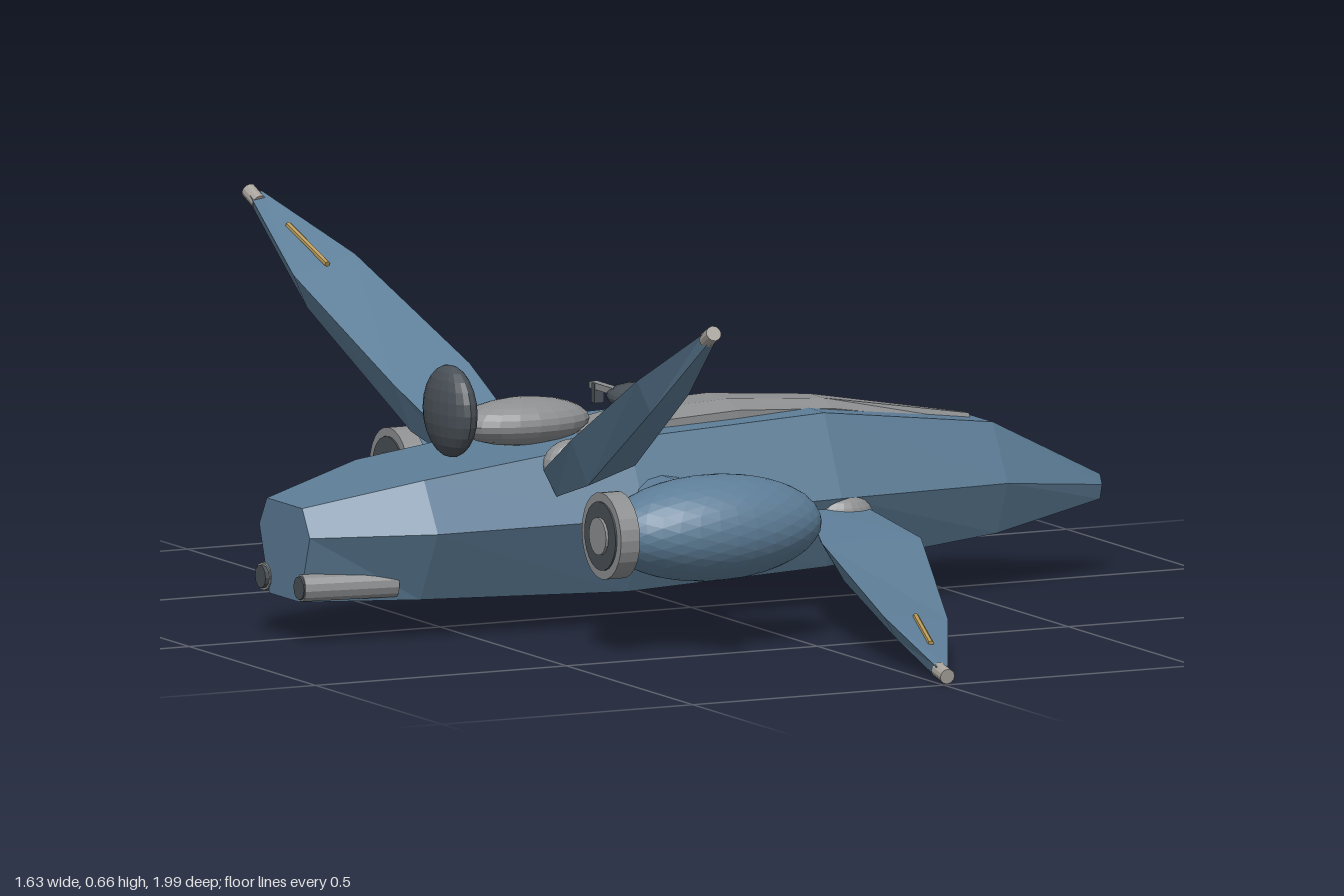
import * as THREE from 'three';

const mat = (name, color, extra = {}) => {
  const m = new THREE.MeshStandardMaterial({ color, flatShading: true, ...extra });
  m.name = name;
  return m;
};

// Skins equal-length rings of [x, y, z] points, with closed ends facing outward
function loft(rings) {
  const tris = [];
  const n = rings[0].length;
  for (let i = 0; i < rings.length - 1; i++) {
    for (let j = 0; j < n; j++) {
      const k = (j + 1) % n;
      const a = rings[i][j], b = rings[i][k], c = rings[i + 1][k], d = rings[i + 1][j];
      tris.push([a, b, c], [a, c, d]);
    }
  }
  const first = rings[0], last = rings[rings.length - 1];
  for (let j = 1; j < n - 1; j++) {
    tris.push([first[0], first[j + 1], first[j]], [last[0], last[j], last[j + 1]]);
  }
  // A negative volume means the faces point inward
  let volume = 0;
  const va = new THREE.Vector3(), vb = new THREE.Vector3(), vc = new THREE.Vector3();
  for (const [a, b, c] of tris) volume += va.fromArray(a).dot(vb.fromArray(b).cross(vc.fromArray(c)));
  if (volume < 0) tris.forEach((t) => t.reverse());
  const geo = new THREE.BufferGeometry();
  geo.setAttribute('position', new THREE.Float32BufferAttribute(tris.flat(2), 3));
  geo.computeVertexNormals();
  return geo;
}

export function createModel() {
  const blue = mat('hull blue', 0x5d7d97);
  const grey = mat('metal grey', 0x8d8f91);
  const dark = mat('dark metal', 0x495057);
  const gold = mat('gold', 0xb99a58);
  const pale = mat('pale metal', 0xa7a29b);

  const model = new THREE.Group();
  model.name = 'spacecraft';
  const add = (name, geo, material, pos = [0, 0, 0], scale = [1, 1, 1]) => {
    const mesh = new THREE.Mesh(geo, material);
    mesh.name = name;
    mesh.position.set(...pos);
    mesh.scale.set(...scale);
    model.add(mesh);
    return mesh;
  };
  // Cylinder between two points
  const rod = (name, from, to, r1, r2, material, sides = 12) => {
    const a = new THREE.Vector3(...from), b = new THREE.Vector3(...to);
    const mid = a.clone().add(b).multiplyScalar(0.5);
    const mesh = add(name, new THREE.CylinderGeometry(r2, r1, a.distanceTo(b), sides), material, mid.toArray());
    mesh.quaternion.setFromUnitVectors(new THREE.Vector3(0, 1, 0), b.sub(a).normalize());
    return mesh;
  };

  // Fuselage: x, bottom y, bottom half-width, side y, side half-width, top y, top half-width
  const hull = [
    [-0.81, 0.08, 0.06, 0.2, 0.1, 0.25, 0.07],
    [-0.6, 0.078, 0.12, 0.205, 0.19, 0.295, 0.135],
    [-0.2, 0.068, 0.145, 0.21, 0.22, 0.345, 0.15],
    [0.2, 0.083, 0.135, 0.215, 0.2, 0.36, 0.13],
    [0.57, 0.11, 0.08, 0.205, 0.12, 0.308, 0.062],
    [0.81, 0.145, 0.01, 0.172, 0.018, 0.19, 0.01],
  ];
  add('fuselage', loft(hull.map(([x, by, bw, sy, sw, ty, tw]) => [
    [x, by, -bw], [x, sy, -sw], [x, ty, -tw], [x, ty, tw], [x, sy, sw], [x, by, bw],
  ])), blue);

  // Cockpit deck: x, top y, half-width
  const deck = [[-0.24, 0.352, 0.06], [-0.1, 0.376, 0.09], [0.05, 0.383, 0.088],
    [0.25, 0.369, 0.065], [0.55, 0.318, 0.016]];
  add('cockpitDeck', loft(deck.map(([x, y, w]) => [
    [x, y - 0.05, -w], [x, y - 0.014, -w], [x, y, -w * 0.45],
    [x, y, w * 0.45], [x, y - 0.014, w], [x, y - 0.05, w],
  ])), grey);

  // Rider section on top of the hull
  const ball = new THREE.SphereGeometry(1, 20, 12);
  add('rearBody', ball, grey, [-0.335, 0.365, 0], [0.128, 0.043, 0.072]);
  add('rearDisc', ball, dark, [-0.48, 0.393, 0], [0.036, 0.083, 0.083]);
  add('dome', ball, dark, [-0.1, 0.39, 0], [0.055, 0.026, 0.083]);
  add('domeCap', ball, gold, [-0.087, 0.408, 0], [0.025, 0.012, 0.035]);
  add('handlebar', new THREE.BoxGeometry(0.016, 0.012, 0.25), grey, [-0.132, 0.399, 0]);
  for (const s of [-1, 1]) {
    add('handleGrip', new THREE.BoxGeometry(0.018, 0.035, 0.014), dark, [-0.132, 0.386, s * 0.108]);
  }

  // Wing stations: z, trailing x, leading x, trailing top y, leading top y, thickness
  const wings = [
    {
      name: 'upperWing',
      stations: [[0.18, -0.385, -0.265, 0.305, 0.335, 0.05], [0.35, -0.415, -0.265, 0.385, 0.415, 0.085],
        [0.68, -0.45, -0.327, 0.54, 0.57, 0.06], [0.9, -0.428, -0.402, 0.655, 0.658, 0.022]],
      joint: [-0.325, 0.312, 0.178],
      tip: [[-0.415, 0.64, 0.885], [-0.418, 0.657, 0.92]],
      stripe: [[-0.4, 0.611, 0.8], [-0.387, 0.557, 0.67]],
    },
    {
      name: 'lowerWing',
      stations: [[0.18, 0.14, 0.255, 0.2, 0.195, 0.06], [0.38, 0.07, 0.267, 0.168, 0.165, 0.07],
        [0.745, 0.008, 0.137, 0.093, 0.078, 0.045], [0.97, 0, 0.024, 0.034, 0.034, 0.024]],
      joint: [0.215, 0.175, 0.178],
      tip: [[0.012, 0.026, 0.955], [0.01, 0.019, 0.995]],
      stripe: [[0.04, 0.059, 0.87], [0.075, 0.088, 0.74]],
    },
  ];
  for (const s of [-1, 1]) {
    const side = s > 0 ? 'right' : 'left';
    const flip = ([x, y, z]) => [x, y, z * s];
    for (const { name, stations, joint, tip, stripe } of wings) {
      // Flat top with a narrower underside
      add(`${side} ${name}`, loft(stations.map(([z, xt, xl, yt, yl, t]) => {
        const w = xl - xt;
        return [[xt, yt, z], [xl, yl, z], [xl - w * 0.15, yl - t, z], [xt + w * 0.22, yt - t, z]].map(flip);
      })), blue);
      add(`${side} ${name} joint`, ball, grey, flip(joint), [0.057, 0.045, 0.038]);
      rod(`${side} ${name} tip`, flip(tip[0]), flip(tip[1]), 0.014, 0.014, pale);
      rod(`${side} ${name} stripe`, flip(stripe[0]), flip(stripe[1]), 0.0055, 0.0055, gold, 6);
    }

    // Engine pod with its rear ring and hub
    const podY = 0.22, podZ = s * 0.42;
    add(`${side} enginePod`, new THREE.IcosahedronGeometry(1, 5), blue, [-0.17, podY, podZ], [0.212, 0.095, 0.112]);
    rod(`${side} podRing`, [-0.39, podY, podZ], [-0.352, podY, podZ], 0.078, 0.078, grey, 24);
    rod(`${side} podIntake`, [-0.393, podY, podZ], [-0.385, podY, podZ], 0.062, 0.062, dark, 24);
    rod(`${side} podHub`, [-0.398, podY, podZ], [-0.385, podY, podZ], 0.034, 0.034, grey, 16);
    const strut = rod(`${side} podStrut`, [-0.15, 0.24, s * 0.16], [-0.15, 0.24, s * 0.36], 0.06, 0.06, blue);
    strut.scale.z = 0.65;

    // Rear thruster
    rod(`${side} thruster`, [-0.815, 0.108, s * 0.076], [-0.64, 0.108, s * 0.1], 0.025, 0.025, grey);
    rod(`${side} thrusterOutlet`, [-0.82, 0.108, s * 0.076], [-0.812, 0.108, s * 0.076], 0.021, 0.021, dark);
  }
  return model;
}
